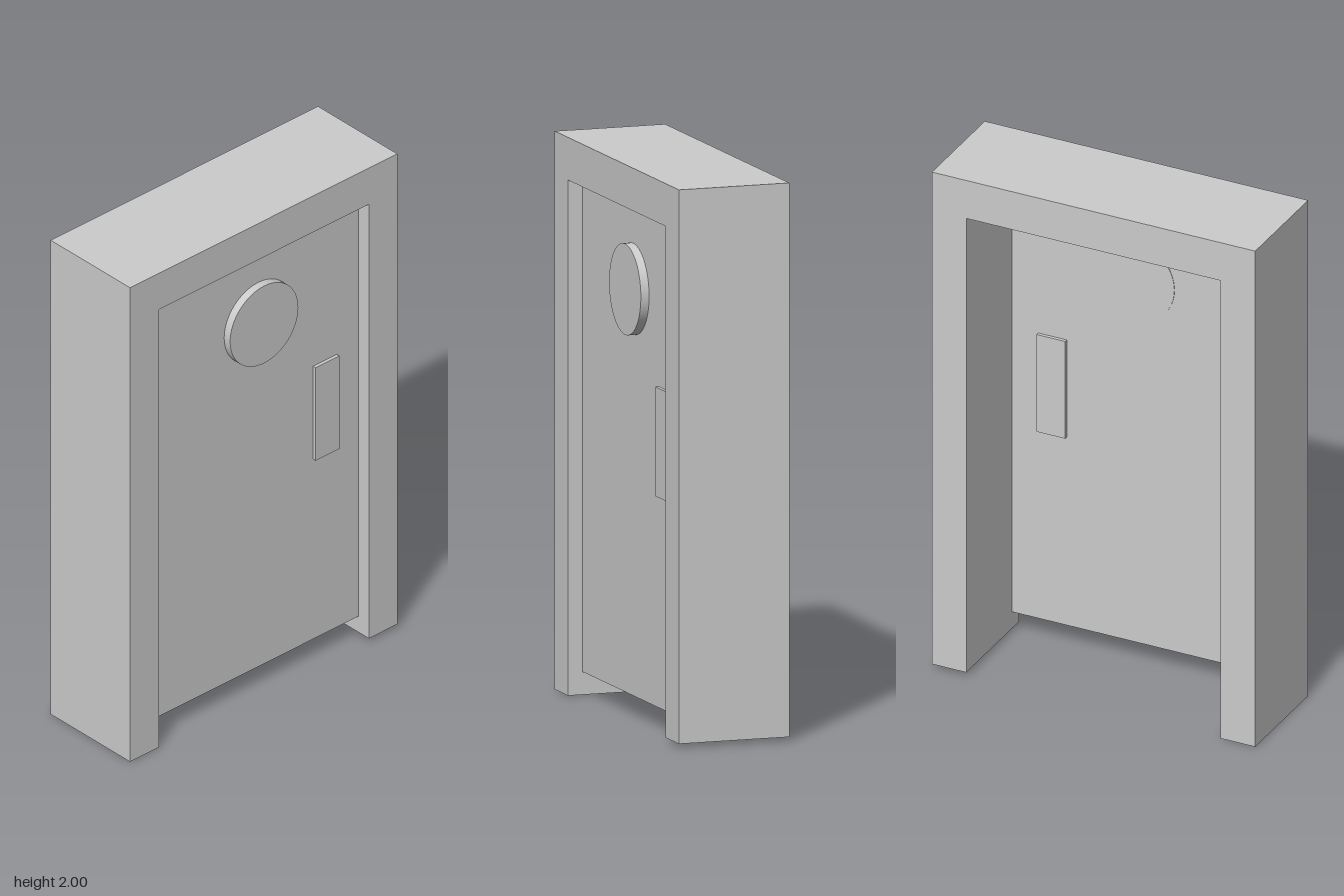
import * as THREE from 'three';

const material = new THREE.MeshStandardMaterial({ color: 0xcccccc });

function addPart(group, name, geometry, x, y, z) {
  const mesh = new THREE.Mesh(geometry, material);
  mesh.name = name;
  mesh.position.set(x, y, z);
  group.add(mesh);
  return mesh;
}

export function createModel() {
  const group = new THREE.Group();
  group.name = 'doorway';

  // Deep frame: two jambs and a lintel in one outline; one foot is slightly shorter
  const outline = new THREE.Shape([
    [-0.64, 0], [-0.502, 0], [-0.502, 1.847], [0.502, 1.847],
    [0.502, 0.015], [0.638, 0.015], [0.638, 2], [-0.64, 2],
  ].map(([x, y]) => new THREE.Vector2(x, y)));
  const depth = 0.415;
  const frame = new THREE.ExtrudeGeometry(outline, { depth, bevelEnabled: false });
  addPart(group, 'doorFrame', frame, 0, 0, -depth / 2);

  // Thin door panel set near the front, its bottom clear of the floor
  const bottom = 0.083, top = 1.847, doorZ = 0.152;
  addPart(group, 'doorPanel', new THREE.BoxGeometry(1.004, top - bottom, 0.004),
    0, (top + bottom) / 2, doorZ);

  // Round window, standing proud of the front and just through the back
  const disc = new THREE.CylinderGeometry(0.163, 0.163, 0.037, 64).rotateX(Math.PI / 2);
  addPart(group, 'roundWindow', disc, 0.022, 1.541, 0.1665);

  // Push plate passing through both faces of the door
  addPart(group, 'pushPlate', new THREE.BoxGeometry(0.113, 0.392, 0.03), 0.341, 1.038, doorZ);

  return group;
}
